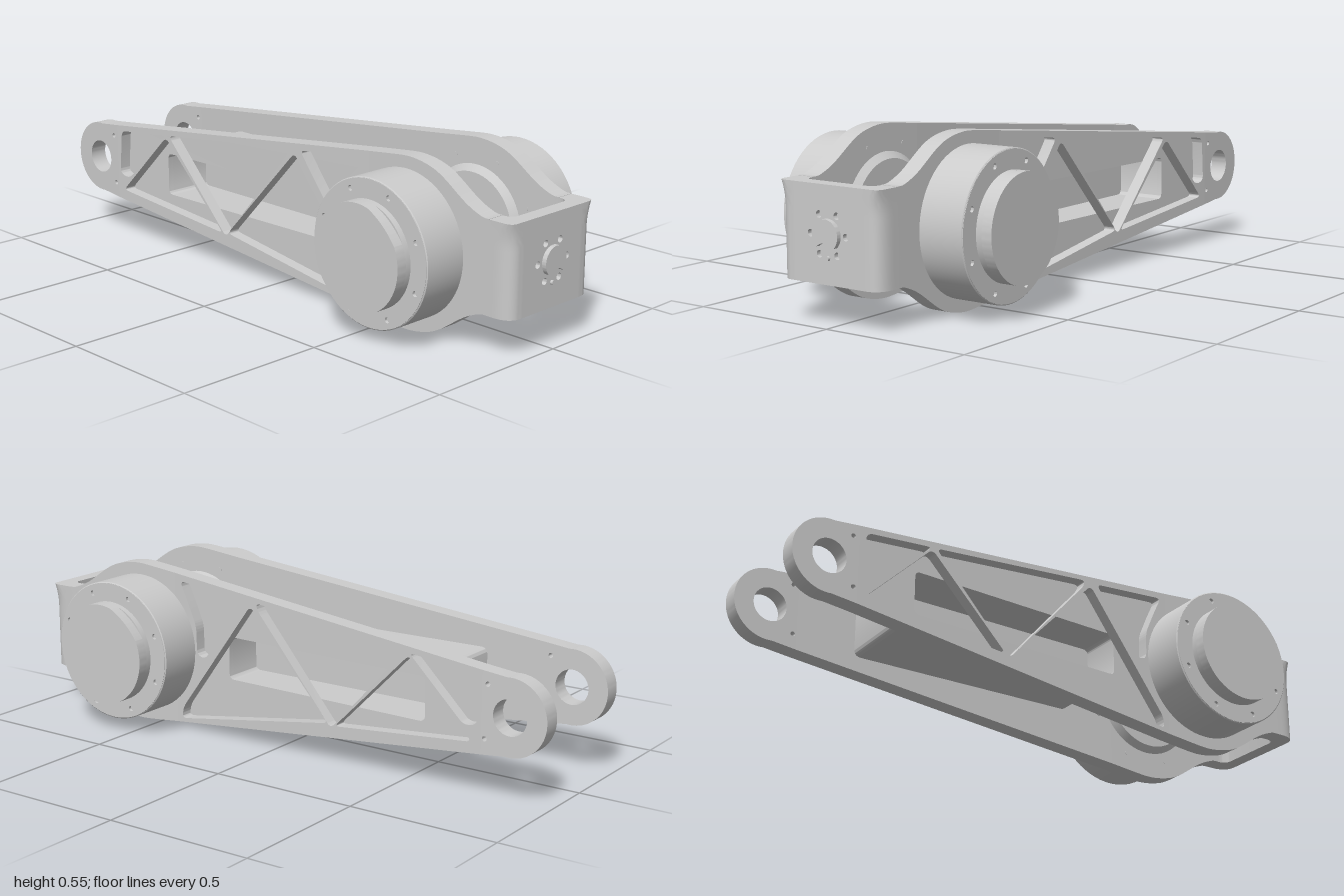
import * as THREE from 'three';
import { toCreasedNormals } from 'three/addons/utils/BufferGeometryUtils.js';

const grey = new THREE.MeshStandardMaterial({ color: 0xcccccc });
const MID = 0.273, HUB_Z = 0.572, PIN_Z = -0.877;
const SPLIT_FRONT = 0.42, SPLIT_BACK = -0.78;

const add = (parent, name, geo) => {
  const mesh = new THREE.Mesh(geo, grey);
  mesh.name = name;
  parent.add(mesh);
  return mesh;
};
const V = (z, y) => new THREE.Vector2(-z, y); // side-profile point
const topEdge = z => 0.4867 + 0.106 * z;
const mirrorY = ([z, y]) => [z, 2 * MID - y];

// Sideways splay of the arms toward the rear
const splay = z => 0.035 * THREE.MathUtils.clamp((SPLIT_FRONT - z) / (SPLIT_FRONT - SPLIT_BACK), 0, 1);

// Extrude a side profile along x, then splay it outward
function sideExtrude(shape, x0, x1) {
  const geo = new THREE.ExtrudeGeometry(shape, { depth: x1 - x0, bevelEnabled: false, curveSegments: 24 });
  geo.rotateY(Math.PI / 2).translate(x0, 0, 0);
  const p = geo.attributes.position;
  for (let i = 0; i < p.count; i++) {
    const x = p.getX(i);
    p.setX(i, x + Math.sign(x) * splay(p.getZ(i)));
  }
  return toCreasedNormals(geo, 0.5);
}

// Polygon with rounded corners, as a shape or a hole
function rounded(points, r, path = new THREE.Path()) {
  const pts = points.map(([z, y]) => V(z, y)), n = pts.length;
  pts.forEach((p, i) => {
    const toward = q => p.clone().add(q.clone().sub(p).setLength(Math.min(r, p.distanceTo(q) * 0.45)));
    const a = toward(pts[(i + n - 1) % n]), b = toward(pts[(i + 1) % n]);
    if (i === 0) path.moveTo(a.x, a.y); else path.lineTo(a.x, a.y);
    path.quadraticCurveTo(p.x, p.y, b.x, b.y);
  });
  path.closePath();
  return path;
}
const rect = (z0, z1, y0, y1) => [[z0, y0], [z1, y0], [z1, y1], [z0, y1]];
const circle = (x, y, r) => new THREE.Path().absarc(x, y, r, 0, Math.PI * 2);
const CAVITY = rect(0.222, -0.556, 0.19, 0.335);

// Lathe around the x axis from [radius, x] pairs with x increasing along the outside
function axialLathe(points) {
  const geo = new THREE.LatheGeometry(points.map(([r, x]) => new THREE.Vector2(r, x)), 64);
  return toCreasedNormals(geo.rotateZ(-Math.PI / 2).toNonIndexed(), 0.4);
}

// Truss pockets cut in the outer face of each arm
const POCKETS = [
  [[0.40, 0.507], [0.125, 0.478], [0.295, 0.255], [0.33, 0.265], [0.332, 0.36], [0.365, 0.435]],
  [[0.40, 0.03], [0.395, 0.07], [0.10, 0.465], [-0.215, 0.13]],
  [[0.075, 0.478], [0.07, 0.455], [-0.225, 0.115], [-0.505, 0.413]],
  [[-0.24, 0.125], [-0.52, 0.405], [-0.75, 0.175]],
  [[-0.52, 0.412], [-0.755, 0.387], [-0.768, 0.232], [-0.72, 0.222]],
];

function makeArm(side) {
  const arm = new THREE.Group();
  arm.name = side > 0 ? 'leftArm' : 'rightArm';
  const layer = (name, shape, a, b) =>
    add(arm, name, sideExtrude(shape, side > 0 ? a : -b, side > 0 ? b : -a));

  // Broad front section around the motor
  const top = new THREE.SplineCurve([[0.90, 0.42], [0.87, 0.423], [0.81, 0.45], [0.72, 0.51], [0.66, 0.535],
    [0.585, 0.546], [0.50, topEdge(0.5)]].map(p => new THREE.Vector2(...p))).getPoints(36).map(p => [p.x, p.y]);
  top.push([SPLIT_FRONT, topEdge(SPLIT_FRONT)]);
  const front = [...top, ...top.map(mirrorY).reverse()];
  layer('armFront', new THREE.Shape(front.map(p => V(...p))), 0.13, 0.19);

  // Truss section: solid inner skin and ribbed outer layer, outline counter-clockwise
  const edge = [[SPLIT_BACK, topEdge(SPLIT_BACK)], [SPLIT_FRONT, topEdge(SPLIT_FRONT)]];
  const body = () => new THREE.Shape([...edge, ...edge.map(mirrorY).reverse()].map(p => V(...p)));
  const skin = body(), ribs = body();
  skin.holes.push(rounded(CAVITY, 0.02));
  POCKETS.forEach(p => ribs.holes.push(rounded(p, 0.022)));
  layer('armSkin', skin, 0.13, 0.15);
  layer('armRibs', ribs, 0.15, 0.19);

  // Rounded rear eye
  const eye = new THREE.Shape();
  eye.moveTo(-SPLIT_BACK, topEdge(SPLIT_BACK));
  eye.lineTo(-SPLIT_BACK, 2 * MID - topEdge(SPLIT_BACK));
  eye.absarc(-PIN_Z, MID, 0.123, -1.677, 1.677, false);
  eye.closePath();
  eye.holes.push(circle(-PIN_Z, MID, 0.057), circle(0.80, 0.363, 0.008), circle(0.793, 0.193, 0.008));
  layer('armEye', eye, 0.13, 0.19);
  return arm;
}

// Motor built on the +x side about its own axis
function makeMotor() {
  const motor = new THREE.Group();
  motor.name = 'motor';
  const ring = (count, r, fn) => {
    for (let i = 0; i < count; i++) {
      const a = (i + 0.5) / count * Math.PI * 2;
      fn(Math.cos(a) * r, Math.sin(a) * r);
    }
  };
  const alongX = (shape, x, depth) => toCreasedNormals(new THREE.ExtrudeGeometry(shape,
    { depth, bevelEnabled: false, curveSegments: 64 }).rotateY(Math.PI / 2).translate(x, 0, 0), 0.5);
  add(motor, 'motorBody', axialLathe([[0, 0.185], [0.234, 0.185], [0.234, 0.341], [0.231, 0.3435], [0.225, 0.3435],
    [0.225, 0.335], [0, 0.335]]));
  const plate = new THREE.Shape().absarc(0, 0, 0.23, 0, Math.PI * 2);
  ring(8, 0.203, (x, y) => plate.holes.push(circle(x, y, 0.009)));
  add(motor, 'motorFacePlate', alongX(plate, 0.335, 0.01));

  // End cap, with a shallow relief on its outer part
  add(motor, 'capBase', axialLathe([[0.169, 0.34], [0.169, 0.365], [0, 0.365]]));
  const cap = new THREE.Shape().absarc(0, 0, 0.169, 1.28, 0.42 + Math.PI * 2, false);
  cap.quadraticCurveTo(Math.cos(0.85) * 0.172, Math.sin(0.85) * 0.172, Math.cos(1.28) * 0.169, Math.sin(1.28) * 0.169);
  add(motor, 'cap', alongX(cap, 0.365, 0.035));

  // Output hub on the inner side of the arm
  add(motor, 'hub', axialLathe([[0, 0.126], [0.05, 0.126], [0.05, 0.119], [0.095, 0.119], [0.095, 0.111],
    [0.165, 0.111], [0.188, 0.132]]));
  const bolt = (r, x, y, z) => add(motor, 'bolt',
    new THREE.CylinderGeometry(r, r, 0.01, 16).rotateZ(Math.PI / 2).translate(x, y, z));
  ring(8, 0.073, (z, y) => bolt(0.011, 0.116, y, z));
  ring(8, 0.22, (z, y) => bolt(0.008, 0.134, y, z));
  return motor;
}

// Front cross-piece joining the arms, with its end plate and boss
function makeFrontBridge() {
  const bridge = new THREE.Group();
  bridge.name = 'frontBridge';
  const plan = new THREE.Shape();
  plan.moveTo(-0.19, 0.86);
  plan.lineTo(-0.19, 0.92);
  plan.quadraticCurveTo(-0.19, 0.985, -0.14, 0.985);
  [[-0.13, 0.985], [-0.13, 0.97], [0.13, 0.97], [0.13, 0.985], [0.14, 0.985]].forEach(p => plan.lineTo(...p));
  plan.quadraticCurveTo(0.19, 0.985, 0.19, 0.92);
  plan.lineTo(0.19, 0.86);
  plan.lineTo(0.13, 0.86);
  plan.lineTo(0.13, 0.905);
  plan.quadraticCurveTo(0.13, 0.935, 0.10, 0.935);
  plan.lineTo(-0.10, 0.935);
  plan.quadraticCurveTo(-0.13, 0.935, -0.13, 0.905);
  plan.lineTo(-0.13, 0.86);
  const yoke = new THREE.ExtrudeGeometry(plan, { depth: 0.293, steps: 20, bevelEnabled: false, curveSegments: 10 });
  yoke.rotateX(Math.PI / 2).translate(0, 0.419, 0);

  // Sharpen the outer corners toward the top rim
  const p = yoke.attributes.position;
  for (let i = 0; i < p.count; i++) {
    const x = p.getX(i), z = p.getZ(i);
    if (Math.abs(x) < 0.139 || z < 0.919) continue;
    const t = THREE.MathUtils.clamp((p.getY(i) - 0.34) / 0.08, 0, 1), k = 1 - 0.55 * t * t;
    p.setX(i, THREE.MathUtils.lerp(Math.sign(x) * 0.19, x, k));
    p.setZ(i, THREE.MathUtils.lerp(0.985, z, k));
  }
  add(bridge, 'yoke', toCreasedNormals(yoke, 0.6));

  const plate = new THREE.Shape([[-0.13, 0.126], [0.13, 0.126], [0.13, 0.419], [-0.13, 0.419]]
    .map(c => new THREE.Vector2(...c)));
  for (let i = 0; i < 6; i++) {
    const a = i * Math.PI / 3;
    plate.holes.push(circle(Math.cos(a) * 0.067, MID + Math.sin(a) * 0.067, 0.011));
  }
  const flat = (shape, z, depth) => toCreasedNormals(new THREE.ExtrudeGeometry(shape,
    { depth, bevelEnabled: false, curveSegments: 24 }).translate(0, 0, z), 0.5);
  add(bridge, 'endPlate', flat(plate, 0.969, 0.016));

  const boss = new THREE.Shape().absarc(0, MID, 0.048, -0.8, Math.PI + 0.8, false);
  boss.quadraticCurveTo(0, MID - 0.008, 0.0335, MID - 0.0344);
  add(bridge, 'crescentBoss', flat(boss, 0.98, 0.02));
  add(bridge, 'locatingPin', new THREE.CylinderGeometry(0.007, 0.007, 0.015, 24)
    .rotateX(Math.PI / 2).translate(0, 0.205, 0.986));
  return bridge;
}

export function createModel() {
  const model = new THREE.Group();
  model.name = 'linkArm';
  for (const side of [1, -1]) {
    model.add(makeArm(side));
    const motor = makeMotor();
    motor.position.set(0, MID, HUB_Z);
    if (side < 0) motor.rotation.y = Math.PI;
    model.add(motor);
  }
  model.add(makeFrontBridge());

  // Hollow cross block between the arms, closed by a middle web
  const block = rounded(rect(0.235, -0.577, 0.17, 0.355), 0.025, new THREE.Shape());
  block.holes.push(rounded(CAVITY, 0.02));
  add(model, 'crossBlock', sideExtrude(block, -0.132, 0.132));
  add(model, 'crossBlockWeb', new THREE.BoxGeometry(0.02, 0.155, 0.785)).position.set(0, 0.2625, -0.17);
  return model;
}
